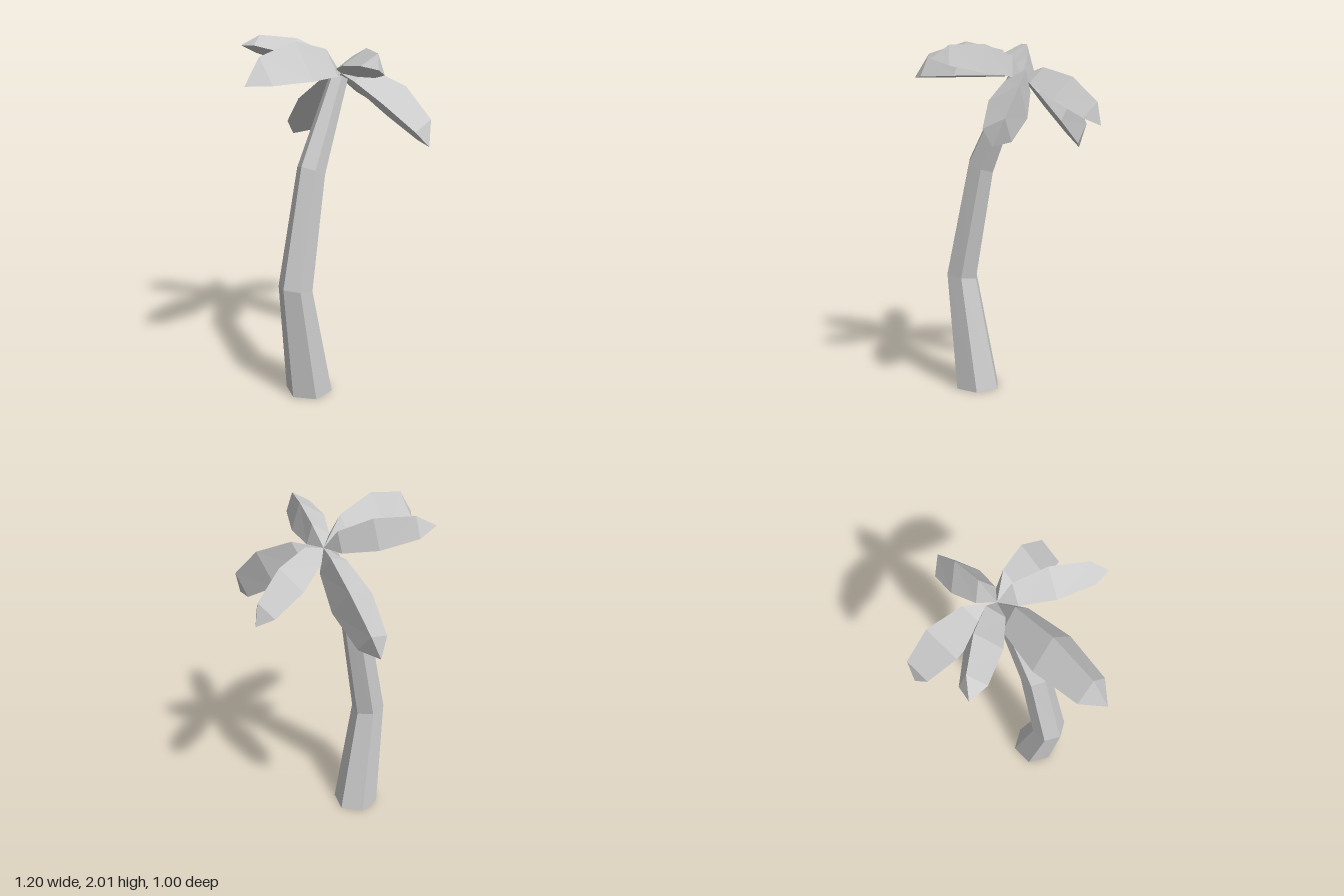
import * as THREE from 'three';

const material = new THREE.MeshStandardMaterial({ color: 0xcccccc, flatShading: true });
const V = (x, y, z) => new THREE.Vector3(x, y, z);

// Flat-shaded mesh from a list of corner triples; empty triangles are dropped
function facetMesh(name, triangles) {
  const points = triangles.filter(t => new THREE.Triangle(...t).getArea() > 1e-8).flat();
  const geometry = new THREE.BufferGeometry().setFromPoints(points);
  geometry.computeVertexNormals();
  const mesh = new THREE.Mesh(geometry, material);
  mesh.name = name;
  return mesh;
}

const quad = (a, b, c, d) => [[a, b, c], [a, c, d]];

// Bent, tapering six-sided trunk: centre x, centre y, radius, tilt of each ring
function createTrunk() {
  const sides = 6;
  const sections = [
    [-0.165, 0, 0.135, 0],
    [-0.27, 0.662, 0.096, -0.18],
    [-0.135, 1.305, 0.077, -0.47],
    [0.095, 1.79, 0.05, -0.45],
  ];
  const rings = sections.map(([x, y, r, tilt]) =>
    Array.from({ length: sides }, (_, k) => {
      const a = (k / sides) * Math.PI * 2;
      const dx = r * Math.cos(a);
      return V(x + dx, y + tilt * dx, -0.01 + r * Math.sin(a));
    }));
  const bottom = V(-0.165, 0, -0.01), top = V(0.095, 1.79, -0.01);
  const faces = [];
  for (let k = 0; k < sides; k++) {
    const n = (k + 1) % sides;
    for (let i = 0; i < rings.length - 1; i++) {
      faces.push(...quad(rings[i][k], rings[i + 1][k], rings[i + 1][n], rings[i][n]));
    }
    faces.push([bottom, rings[0][k], rings[0][n]], [top, rings[3][n], rings[3][k]]);
  }
  return facetMesh('trunk', faces);
}

// Frond stations: distance from the crown, ridge height, half width
const stations = [[0, 0, 0], [0.125, 0.14, 0.085], [0.365, 0.195, 0.125], [0.62, 0.135, 0.09], [0.725, 0, 0]];
const crown = V(0.125, 1.805, -0.02);

// Roof-shaped frond with a flat underside, from the crown to its tip
function createFrond(name, tip, lean, heightScale = 1) {
  const along = tip.clone().sub(crown);
  const scale = along.length() / 0.725;
  along.normalize();
  const side = along.clone().cross(lean).normalize();
  const up = side.clone().cross(along);
  const place = (x, y, z) => crown.clone()
    .addScaledVector(along, x * scale)
    .addScaledVector(up, y * scale * heightScale)
    .addScaledVector(side, z * scale);
  const ribs = stations.map(([x, h, w]) => ({ ridge: place(x, h, 0), a: place(x, 0, w), b: place(x, 0, -w) }));
  const faces = [];
  for (let i = 0; i < ribs.length - 1; i++) {
    const p = ribs[i], q = ribs[i + 1];
    faces.push(
      ...quad(p.a, q.a, q.ridge, p.ridge),
      ...quad(p.b, p.ridge, q.ridge, q.b),
      ...quad(p.b, q.b, q.a, p.a));
  }
  return facetMesh(name, faces);
}

export function createModel() {
  const palm = new THREE.Group();
  palm.name = 'palmTree';
  palm.add(createTrunk());

  // Name, tip, direction the ridge leans to, height scale
  const fronds = [
    ['rightFrond', V(-0.6, 1.805, -0.02), V(0, 1, 0), 1],
    ['leftFrond', V(0.6, 1.54, -0.005), V(0, 1, 0), 0.95],
    ['frontLeftFrond', V(0.245, 1.445, 0.495), V(0.62, 0.62, 0.48), 1],
    ['backLeftFrond', V(0.245, 1.395, -0.5), V(0.62, 0.65, -0.45), 1],
    ['frontRightFrond', V(-0.15, 1.88, 0.45), V(0.36, 0.92, 0.1), 0.87],
    ['backRightFrond', V(-0.185, 1.95, -0.48), V(0.42, 0.9, -0.05), 0.8],
  ];
  const foliage = new THREE.Group();
  foliage.name = 'fronds';
  for (const f of fronds) foliage.add(createFrond(...f));
  palm.add(foliage);
  return palm;
}
